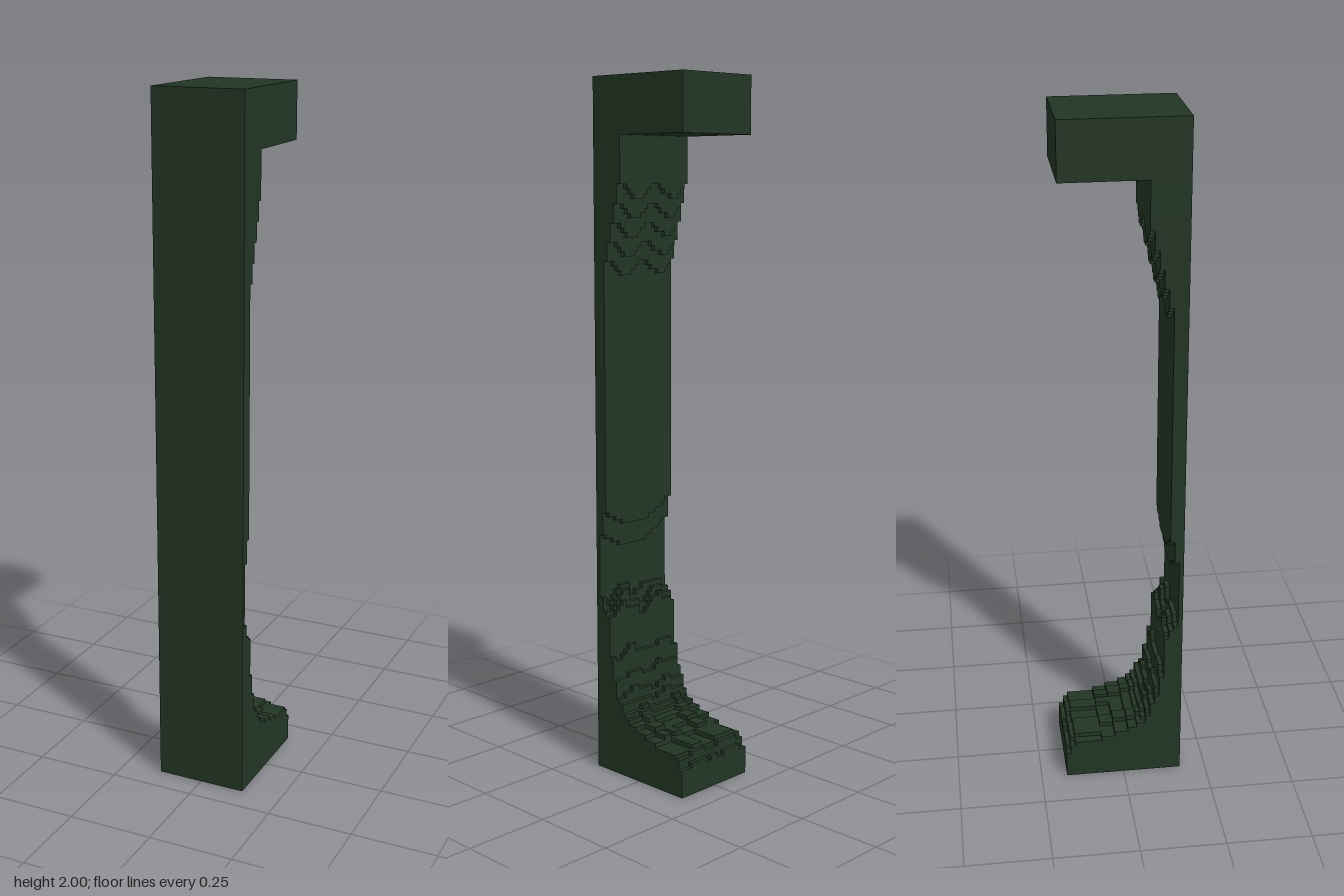
import * as THREE from 'three';

const COLS = 20, ROWS = 150, DEPTH = 26, LEDGE = 138;
const S = 2 / ROWS; // size of one step

// [first row, thickness in steps] from the foot up to the ledge
const STEPS = [[0, 26], [7, 25], [9, 24], [10, 18], [11, 15], [12, 12], [13, 10], [14, 9],
  [15, 8], [17, 7], [19, 6], [23, 5], [28, 4], [38, 3], [40, 2], [42, 1], [50, 2], [55, 3],
  [109, 4], [113, 5], [117, 6], [121, 7], [125, 8], [LEDGE, DEPTH]];

function profile(row) {
  let t = DEPTH;
  for (const [start, thick] of STEPS) if (row >= start) t = thick;
  return t;
}

// Thickness of the bracket at a column and row; contours wander across the width
function thickness(col, row) {
  if (col < 0 || col >= COLS || row < 0 || row >= ROWS) return 0;
  if (row >= LEDGE) return DEPTH;
  const u = (col + 0.5) / COLS;
  if (row < 46) {
    const wave = 0.5 + 0.3 * Math.cos(u * 13) + 0.2 * Math.sin(u * 23 + row);
    return profile(Math.min(Math.round(row + row * 0.13 * wave), 48));
  }
  const wave = row < 80 ? Math.pow(2 * u - 1.1, 2) * 4 : 1.6 + 1.5 * Math.cos(u * 12 + 0.6);
  return profile(Math.max(Math.round(row - wave), 46));
}

// Stepped surface of the rows from r0 up to r1
function section(name, r0, r1, material) {
  const pos = [];
  const point = (c, r, d) => [(c - COLS / 2) * S, r * S, (DEPTH / 2 - d) * S];
  const quad = (a, b, c, d) => {
    for (const p of [a, b, c, a, c, d]) pos.push(...point(...p));
  };
  // flat front
  quad([0, r0, 0], [COLS, r0, 0], [COLS, r1, 0], [0, r1, 0]);
  for (let r = r0; r < r1; r++) {
    for (let c = 0; c < COLS; c++) {
      const t = thickness(c, r);
      // back face
      quad([c + 1, r, t], [c, r, t], [c, r + 1, t], [c + 1, r + 1, t]);
      // exposed step faces towards each thinner neighbour
      const right = thickness(c + 1, r), left = thickness(c - 1, r);
      const up = thickness(c, r + 1), down = thickness(c, r - 1);
      if (t > right) quad([c + 1, r, right], [c + 1, r, t], [c + 1, r + 1, t], [c + 1, r + 1, right]);
      if (t > left) quad([c, r, t], [c, r, left], [c, r + 1, left], [c, r + 1, t]);
      if (t > up) quad([c, r + 1, up], [c + 1, r + 1, up], [c + 1, r + 1, t], [c, r + 1, t]);
      if (t > down) quad([c, r, t], [c + 1, r, t], [c + 1, r, down], [c, r, down]);
    }
  }
  const geometry = new THREE.BufferGeometry();
  geometry.setAttribute('position', new THREE.Float32BufferAttribute(pos, 3));
  geometry.computeVertexNormals();
  const mesh = new THREE.Mesh(geometry, material);
  mesh.name = name;
  return mesh;
}

export function createModel() {
  const group = new THREE.Group();
  group.name = 'steppedBracket';
  const green = new THREE.MeshStandardMaterial({ color: 0x223524 });
  green.name = 'dark green';
  group.add(
    section('foot', 0, 46, green),
    section('wall', 46, LEDGE, green),
    section('topLedge', LEDGE, ROWS, green),
  );
  return group;
}
